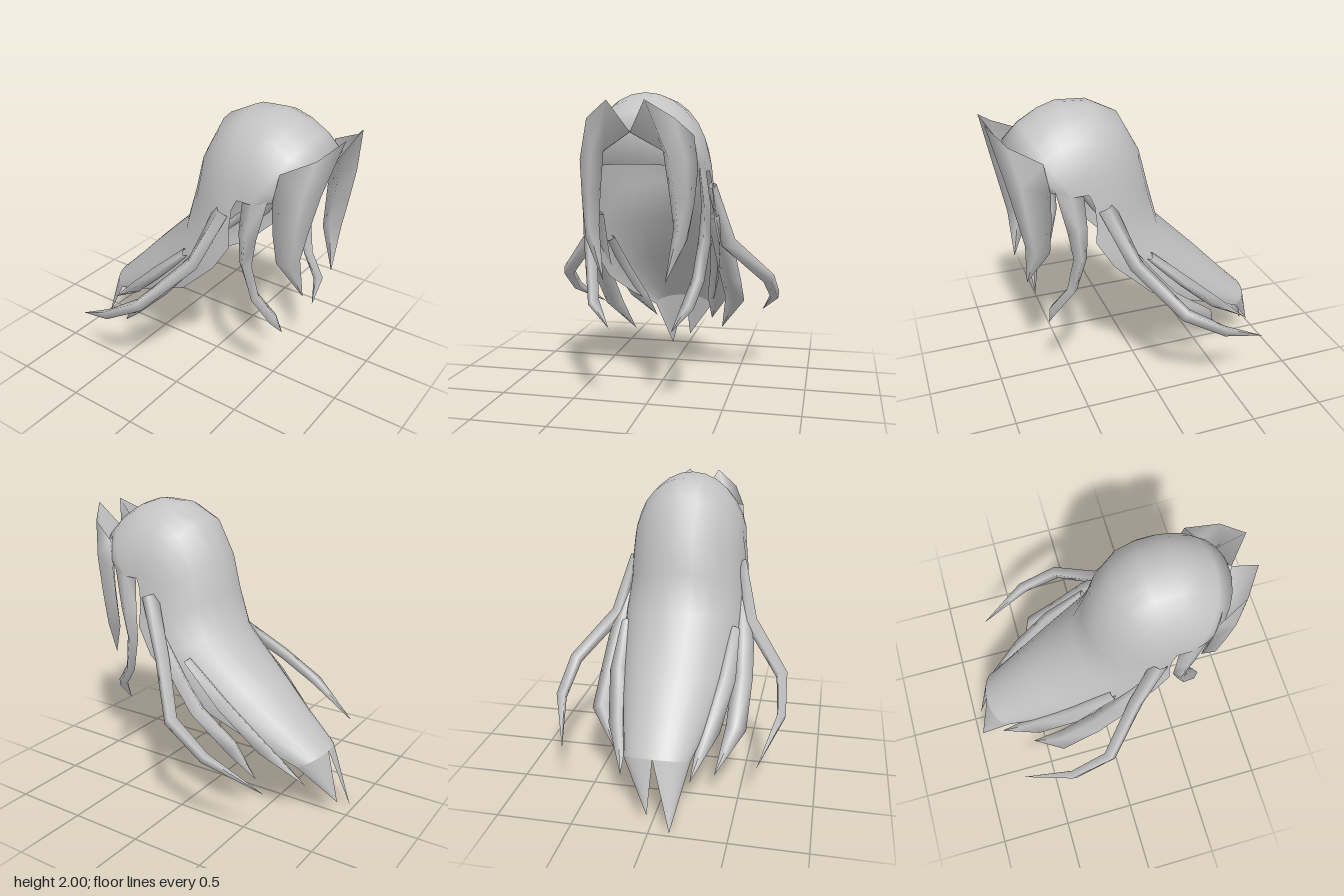
import * as THREE from 'three';

const hair = new THREE.MeshStandardMaterial({ color: 0xc4c4c4, side: THREE.DoubleSide });
hair.name = 'hair grey';

// Smooth skin over rows of points; closed rows wrap round.
function loft(name, rows, closed, flip = false) {
  const n = rows[0].length, cols = closed ? n : n - 1, index = [];
  for (let r = 0; r < rows.length - 1; r++) {
    for (let c = 0; c < cols; c++) {
      const a = r * n + c, b = r * n + (c + 1) % n, d = a + n, e = b + n;
      if (flip) index.push(a, b, d, b, e, d);
      else index.push(a, d, b, b, d, e);
    }
  }
  const geo = new THREE.BufferGeometry();
  geo.setAttribute('position', new THREE.Float32BufferAttribute(rows.flat(2), 3));
  geo.setIndex(index);
  geo.computeVertexNormals();
  const mesh = new THREE.Mesh(geo, hair);
  mesh.name = name;
  return mesh;
}

// Half-ellipse row: centre (y, z), side edge (y, z), half width.
const SEG = 14;
function arch([cy, cz, ey, ez, w]) {
  const row = [];
  for (let i = 0; i <= SEG; i++) {
    const a = (i / SEG - 0.5) * Math.PI, k = Math.cos(a);
    row.push([w * Math.sin(a), ey + (cy - ey) * k, ez + (cz - ez) * k]);
  }
  return row;
}

// Tapered four-sided lock; path entries are [x, y, z, halfWidth, halfThickness].
function strand(name, path, ref, mirror) {
  const pts = path.map(p => new THREE.Vector3(...p));
  const rows = pts.map((p, i) => {
    const t = pts[Math.min(i + 1, pts.length - 1)].clone().sub(pts[Math.max(i - 1, 0)]).normalize();
    const side = new THREE.Vector3(...ref);
    side.addScaledVector(t, -side.dot(t)).normalize();
    const up = t.clone().cross(side);
    return [[1, 0], [0, 1], [-1, 0], [0, -1]].map(([u, v]) => {
      const q = p.clone().addScaledVector(side, u * path[i][3]).addScaledVector(up, v * path[i][4]);
      return [q.x * mirror, q.y, q.z];
    });
  });
  return loft(name, rows, true, mirror > 0);
}

export function createModel() {
  const model = new THREE.Group();
  model.name = 'hair';

  // Crown sweeping from the forehead over the head into the long back
  const sweep = [
    [1.57, 0.74, 1.52, 0.57, 0.36],
    [1.77, 0.85, 1.52, 0.56, 0.38],
    [1.88, 0.74, 1.52, 0.53, 0.39],
    [1.96, 0.61, 1.52, 0.49, 0.39],
    [2.00, 0.49, 1.52, 0.45, 0.39],
    [1.99, 0.29, 1.52, 0.42, 0.39],
    [1.90, 0.11, 1.45, 0.39, 0.40],
    [1.66, -0.02, 1.33, 0.38, 0.41],
    [1.42, -0.08, 1.20, 0.39, 0.42],
    [1.15, -0.15, 1.02, 0.28, 0.44],
    [0.82, -0.48, 0.74, 0.00, 0.39],
    [0.62, -0.67, 0.55, -0.36, 0.31],
    [0.44, -0.85, 0.38, -0.73, 0.22],
  ].map(arch);
  model.add(loft('crownAndBack', sweep, false));

  // Two pointed ends of the back hair
  const end = sweep[sweep.length - 1], mid = SEG / 2;
  const ends = [
    ['backTipRight', end.slice(0, mid + 1), [-0.13, 0, -0.97]],
    ['backTipLeft', end.slice(mid), [0.02, 0.09, -0.94]],
  ];
  for (const [name, row, tip] of ends) model.add(loft(name, [row, row.map(() => tip)], false));

  // Mirrored locks
  for (const s of [1, -1]) {
    const tag = s > 0 ? 'Left' : 'Right';

    // Fringe lock: rows run inner edge, front ridge, outer face, back edge
    const bang = [
      [[0, 1.76, 0.87], [0.11, 1.94, 0.97], [0.26, 1.84, 0.87], [0.34, 1.74, 0.68]],
      [[0.18, 1.65, 0.80], [0.23, 1.62, 0.90], [0.32, 1.60, 0.82], [0.36, 1.55, 0.65]],
      [[0.21, 1.40, 0.77], [0.26, 1.38, 0.85], [0.32, 1.36, 0.79], [0.34, 1.34, 0.65]],
      [[0.23, 1.20, 0.74], [0.27, 1.18, 0.81], [0.31, 1.12, 0.76], [0.30, 1.12, 0.66]],
      Array(4).fill([0.19, 0.87, 0.80]),
    ].map(row => row.map(([x, y, z]) => [x * s, y, z]));
    model.add(loft('fringe' + tag, bang, true, s > 0));

    model.add(strand('templeLock' + tag, [
      [0.36, 1.60, 0.54, 0.09, 0.02], [0.385, 1.30, 0.50, 0.065, 0.03],
      [0.375, 1.09, 0.485, 0.045, 0.04], [0.345, 0.85, 0.54, 0.035, 0.04],
      [0.30, 0.70, 0.655, 0.035, 0.04], [0.20, 0.54, 0.67, 0, 0],
    ], [0, 0, 1], s));

    model.add(strand('outerCurl' + tag, [
      [0.39, 1.42, 0.31, 0.03, 0.06], [0.48, 1.03, 0.15, 0.05, 0.05],
      [0.73, 0.75, -0.10, 0.045, 0.045], [0.755, 0.58, -0.37, 0.04, 0.035],
      [0.635, 0.38, -0.73, 0, 0],
    ], [1, 1, 0], s));

    // The side lock ends slightly lower on the right
    const tip = s > 0 ? [0.35, 0.28, -0.50, 0, 0] : [0.35, 0.21, -0.59, 0, 0];
    model.add(strand('sideLock' + tag, [
      [0.39, 1.22, 0.26, 0.04, 0.03], [0.45, 0.90, 0.03, 0.07, 0.04],
      [0.465, 0.72, -0.12, 0.07, 0.04], [0.46, s > 0 ? 0.53 : 0.46, -0.38, 0.07, 0.04], tip,
    ], [1, 0, 0], s));

    model.add(strand('backLock' + tag, [
      [0.38, 1.02, 0.02, 0.04, 0.03], [0.365, 0.76, -0.25, 0.07, 0.04],
      [0.305, 0.50, -0.52, 0.07, 0.04], [0.225, 0.27, -0.80, 0, 0],
    ], [1, 0, 0], s));
  }
  return model;
}
